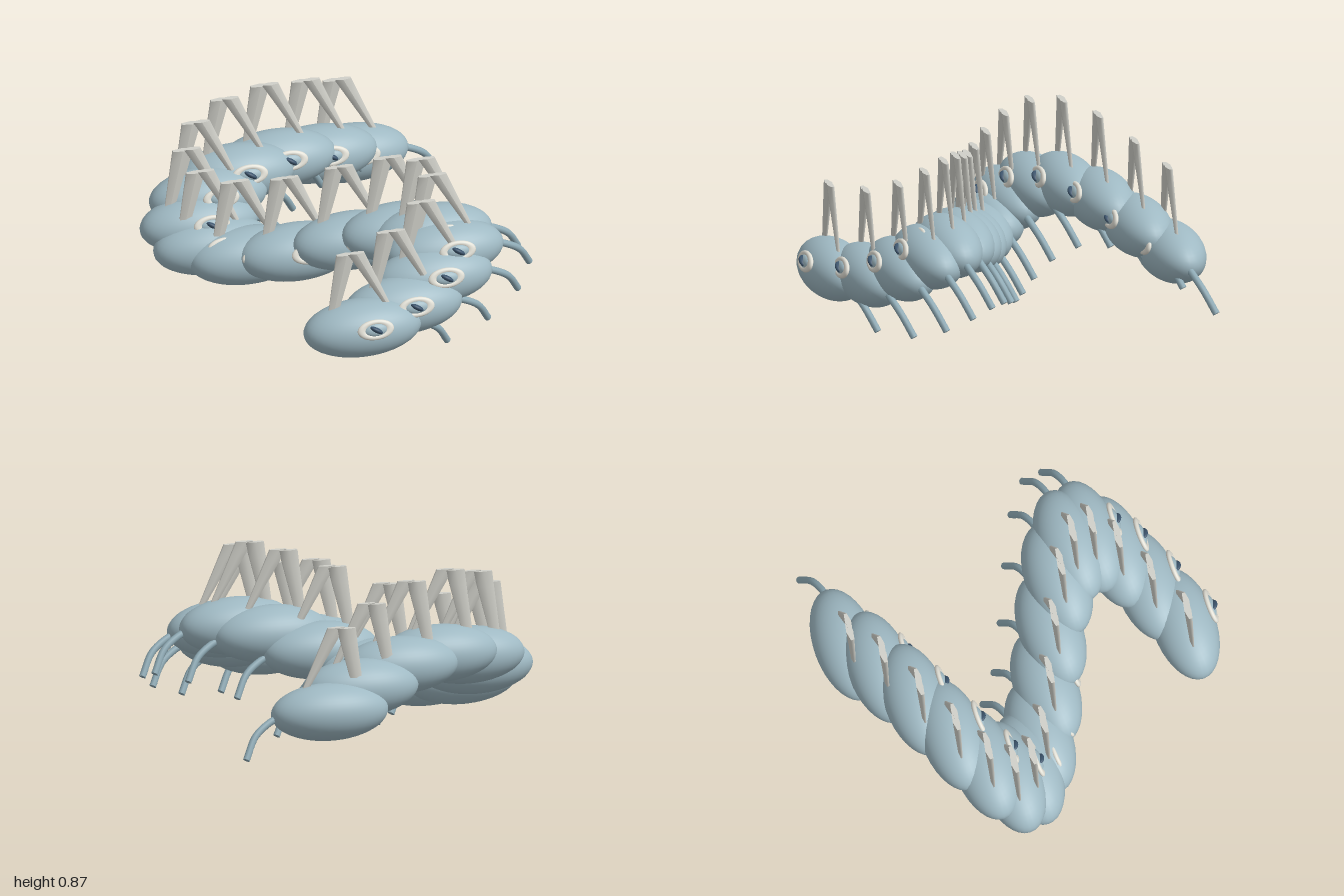
import * as THREE from 'three';

const mat = (name, color, side = THREE.FrontSide) => {
  const m = new THREE.MeshStandardMaterial({ color, side });
  m.name = name;
  return m;
};

const SEGMENTS = 16;

// Flat blade whose cross-section and position run from base to top
function bladeGeometry(base, top) {
  const g = new THREE.CylinderGeometry(1, 1, 1, 6, 4);
  const p = g.attributes.position;
  for (let i = 0; i < p.count; i++) {
    const t = p.getY(i) + 0.5;
    const mix = (k) => THREE.MathUtils.lerp(base[k], top[k], t);
    p.setXYZ(i,
      mix('x') + p.getX(i) * mix('w'),
      mix('y'),
      mix('z') + p.getZ(i) * mix('d'));
  }
  g.computeVertexNormals();
  return g;
}

export function createModel() {
  const skin = mat('blue grey skin', 0x9fb9c3);
  const limb = mat('leg blue grey', 0x8fabb6);
  const horn = mat('pale grey fin', 0xd0d0c9);
  const white = mat('eye white', 0xe2e0d6);
  const dark = mat('dark blue pupil', 0x3c546c);

  const sphere = new THREE.SphereGeometry(1, 36, 24);
  const ring = new THREE.TorusGeometry(0.75, 0.25, 12, 32);

  // Leg curving outward, down and back from the left end of a segment
  const legCurve = new THREE.CatmullRomCurve3([
    new THREE.Vector3(0.25, 0, 0),
    new THREE.Vector3(0.33, -0.035, -0.015),
    new THREE.Vector3(0.405, -0.09, -0.04),
    new THREE.Vector3(0.468, -0.195, -0.086),
  ]);
  const legGeo = new THREE.TubeGeometry(legCurve, 16, 0.018, 10);
  const capGeo = new THREE.CircleGeometry(0.018, 10);

  // Two blades forming an upside-down V
  const blades = [
    bladeGeometry({ x: -0.15, y: 0.1, z: -0.008, w: 0.03, d: 0.008 },
      { x: -0.085, y: 0.425, z: -0.008, w: 0.055, d: 0.018 }),
    bladeGeometry({ x: 0.135, y: 0.1, z: 0.01, w: 0.016, d: 0.008 },
      { x: -0.035, y: 0.43, z: 0, w: 0.05, d: 0.016 }),
  ];

  const model = new THREE.Group();
  model.name = 'wavyCreature';

  const add = (parent, name, geo, material, pos, scale) => {
    const m = new THREE.Mesh(geo, material);
    m.name = name;
    if (pos) m.position.set(...pos);
    if (scale) m.scale.set(...scale);
    parent.add(m);
    return m;
  };

  for (let i = 0; i < SEGMENTS; i++) {
    // Segments snake from side to side and up and down
    const seg = new THREE.Group();
    seg.name = `segment${i + 1}`;
    seg.position.set(
      -0.09 + 0.53 * Math.sin(0.48 * i),
      0.333 - 0.115 * Math.cos(0.77 * i),
      0.805 - 0.1095 * i);
    model.add(seg);

    add(seg, 'body', sphere, skin, null, [0.305, 0.145, 0.16]);

    // Fin
    const fin = new THREE.Group();
    fin.name = 'fin';
    blades.forEach((g) => add(fin, 'finBlade', g, horn));
    seg.add(fin);

    // Leg with closed tip
    add(seg, 'leg', legGeo, limb);
    const tip = add(seg, 'legTip', capGeo, limb, legCurve.getPoint(1).toArray());
    tip.quaternion.setFromUnitVectors(new THREE.Vector3(0, 0, 1), legCurve.getTangent(1));

    // Eye on the front, turned slightly upward
    const eye = new THREE.Group();
    eye.name = 'eye';
    eye.position.set(0.025, 0.06, 0.15);
    eye.rotation.x = -0.35;
    add(eye, 'eyeRing', ring, white, null, [0.095, 0.052, 0.05]);
    add(eye, 'iris', sphere, skin, null, [0.062, 0.034, 0.022]);
    const pupil = add(eye, 'pupil', sphere, dark, [0, 0, 0.012], [0.036, 0.014, 0.025]);
    pupil.rotation.z = -0.55;
    seg.add(eye);
  }
  return model;
}
